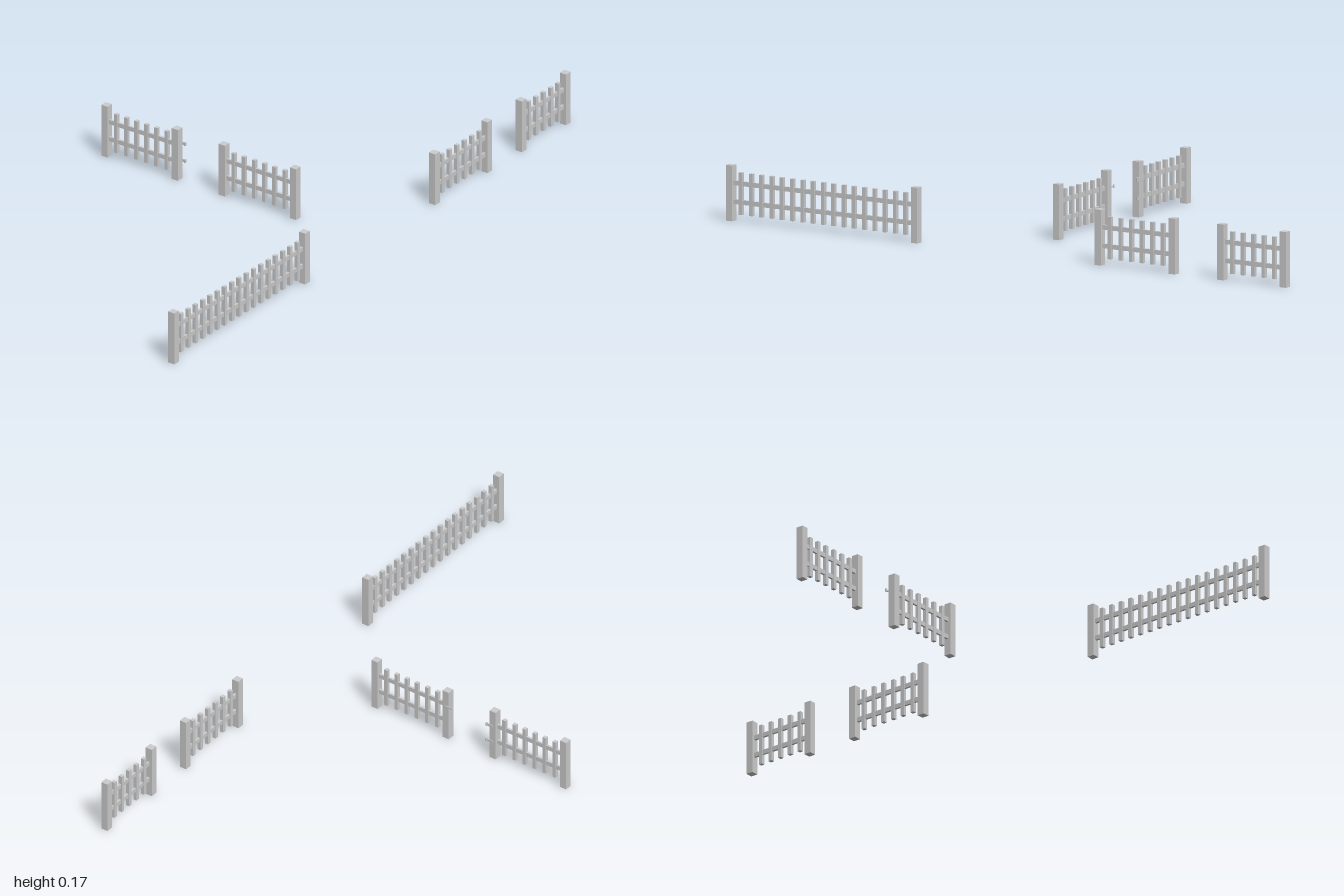
import * as THREE from 'three';

const POST = 0.023, POST_H = 0.17;
const material = new THREE.MeshStandardMaterial({ color: 0xcccccc, flatShading: true });

function box(parent, name, w, h, d, x, y, z) {
  const mesh = new THREE.Mesh(new THREE.BoxGeometry(w, h, d), material);
  mesh.name = name;
  mesh.position.set(x, y, z);
  parent.add(mesh);
}

function pin(parent, name, r, h, x, y, z) {
  const mesh = new THREE.Mesh(new THREE.CylinderGeometry(r, r, h, 8), material);
  mesh.name = name;
  mesh.position.set(x, y, z);
  parent.add(mesh);
}

// Fence panel along local x, measured between post centres
function fence(name, length, pickets) {
  const g = new THREE.Group();
  g.name = name;
  for (const s of [-1, 1]) box(g, 'post', POST, POST_H, POST, s * length / 2, POST_H / 2, 0);
  for (const y of [0.059, 0.116]) box(g, 'rail', length - POST, 0.014, 0.007, 0, y, 0);
  const step = length / (pickets + 1);
  for (let i = 1; i <= pickets; i++) {
    box(g, 'picket', 0.012, 0.129, 0.0115, -length / 2 + i * step, 0.0855, 0);
  }
  return g;
}

export function createModel() {
  const model = new THREE.Group();
  model.name = 'fences';

  // Two panels in line across the model, with a gateway between them
  for (const [name, x0, x1] of [['hingeFence', -0.49, -0.228], ['latchFence', -0.053, 0.212]]) {
    const f = fence(name, x1 - x0, 6);
    f.position.x = (x0 + x1) / 2;
    model.add(f);
  }

  // Three panels running front to back along the left side
  for (const [name, z0, z1, n] of [
    ['longFence', 0.328, 0.9885, 17],
    ['middleFence', -0.592, -0.328, 6],
    ['shortFence', -0.9885, -0.765, 5],
  ]) {
    const f = fence(name, z1 - z0, n);
    f.rotation.y = Math.PI / 2;
    f.position.set(0.488, 0, (z0 + z1) / 2);
    model.add(f);
  }

  // Hinges on the back of one gateway post
  for (const y of [0.06, 0.117]) {
    box(model, 'hingePlate', 0.022, 0.008, 0.003, -0.217, y, -0.0125);
    pin(model, 'hingePin', 0.0035, 0.011, -0.207, y, -0.0125);
  }

  // Latch on the back of the other gateway post
  box(model, 'latchBar', 0.024, 0.004, 0.003, -0.064, 0.118, -0.0125);
  box(model, 'latchEnd', 0.004, 0.01, 0.004, -0.0755, 0.118, -0.0125);

  return model;
}
